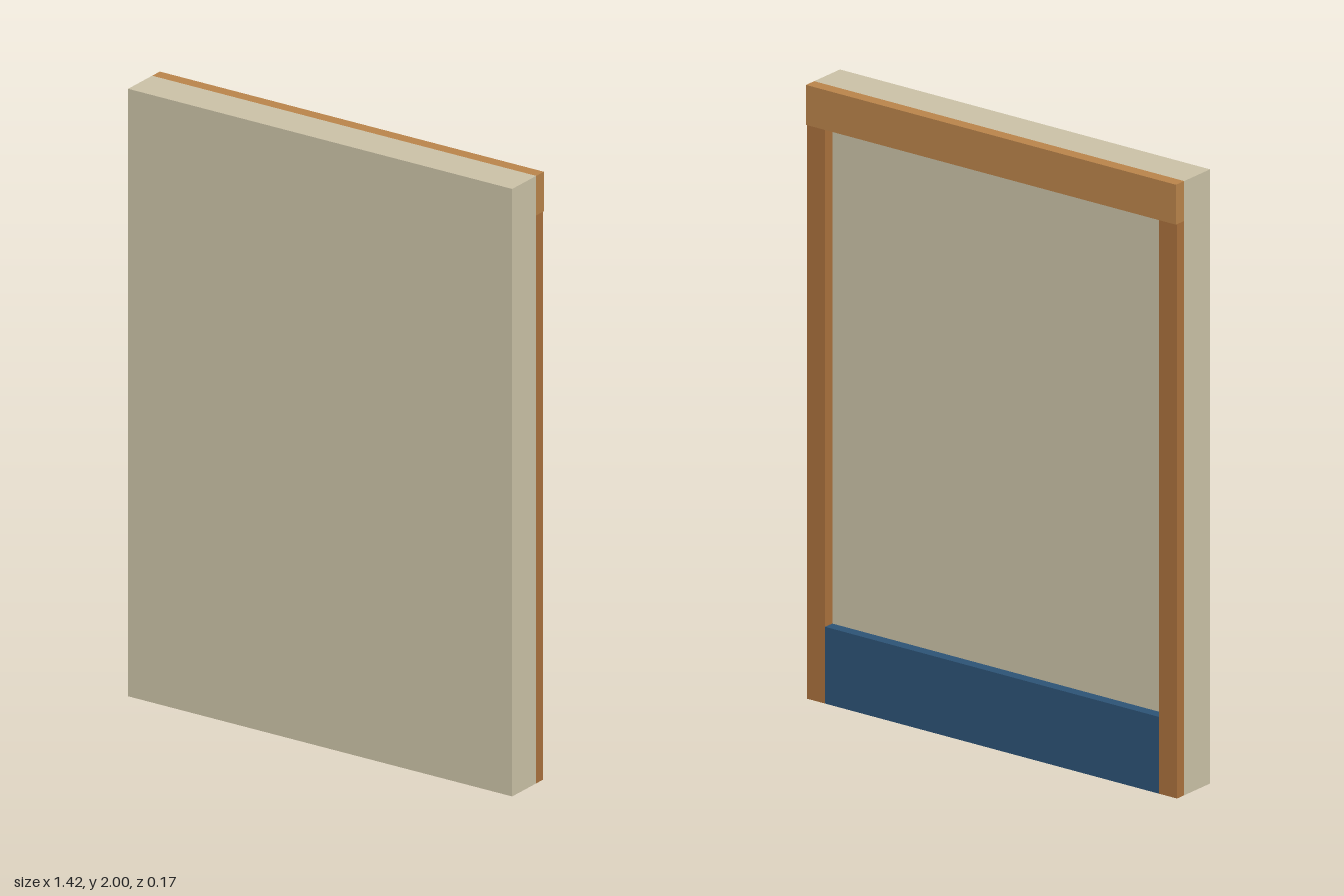
import * as THREE from 'three';

const W = 1.425, H = 2;           // overall width and height
const FRONT = 0.085;              // front face of the panel
const PANEL_BACK = -0.044;        // back face of the panel
const POST_BACK = -0.08;          // back face of posts and lower board
const BEAM_BACK = -0.085;         // beam stands slightly proud
const POST_W = 0.07, BEAM_H = 0.13, BOARD_H = 0.25;

const material = (color) => new THREE.MeshStandardMaterial({ color });

// Box given by its limits on each axis
function block(name, mat, [x0, x1], [y0, y1], [z0, z1]) {
  const mesh = new THREE.Mesh(new THREE.BoxGeometry(x1 - x0, y1 - y0, z1 - z0), mat);
  mesh.position.set((x0 + x1) / 2, (y0 + y1) / 2, (z0 + z1) / 2);
  mesh.name = name;
  return mesh;
}

export function createModel() {
  const group = new THREE.Group();
  group.name = 'framedPanel';
  const plaster = material(0xc9c0a5);
  const beamWood = material(0xb8834a);
  const postWood = material(0xa8703c);
  const blue = material(0x2c5275);
  const half = W / 2, inner = half - POST_W;

  // Solid wall slab
  group.add(block('panel', plaster, [-half, half], [0, H], [PANEL_BACK, FRONT]));

  // Beam across the top of the back
  group.add(block('topBeam', beamWood, [-half, half], [H - BEAM_H, H], [BEAM_BACK, PANEL_BACK]));

  // Upright posts below the beam
  group.add(block('leftPost', postWood, [inner, half], [0, H - BEAM_H], [POST_BACK, PANEL_BACK]));
  group.add(block('rightPost', postWood, [-half, -inner], [0, H - BEAM_H], [POST_BACK, PANEL_BACK]));

  // Painted board along the bottom, flush with the posts
  group.add(block('lowerBoard', blue, [-inner, inner], [0, BOARD_H], [POST_BACK, PANEL_BACK]));

  return group;
}
